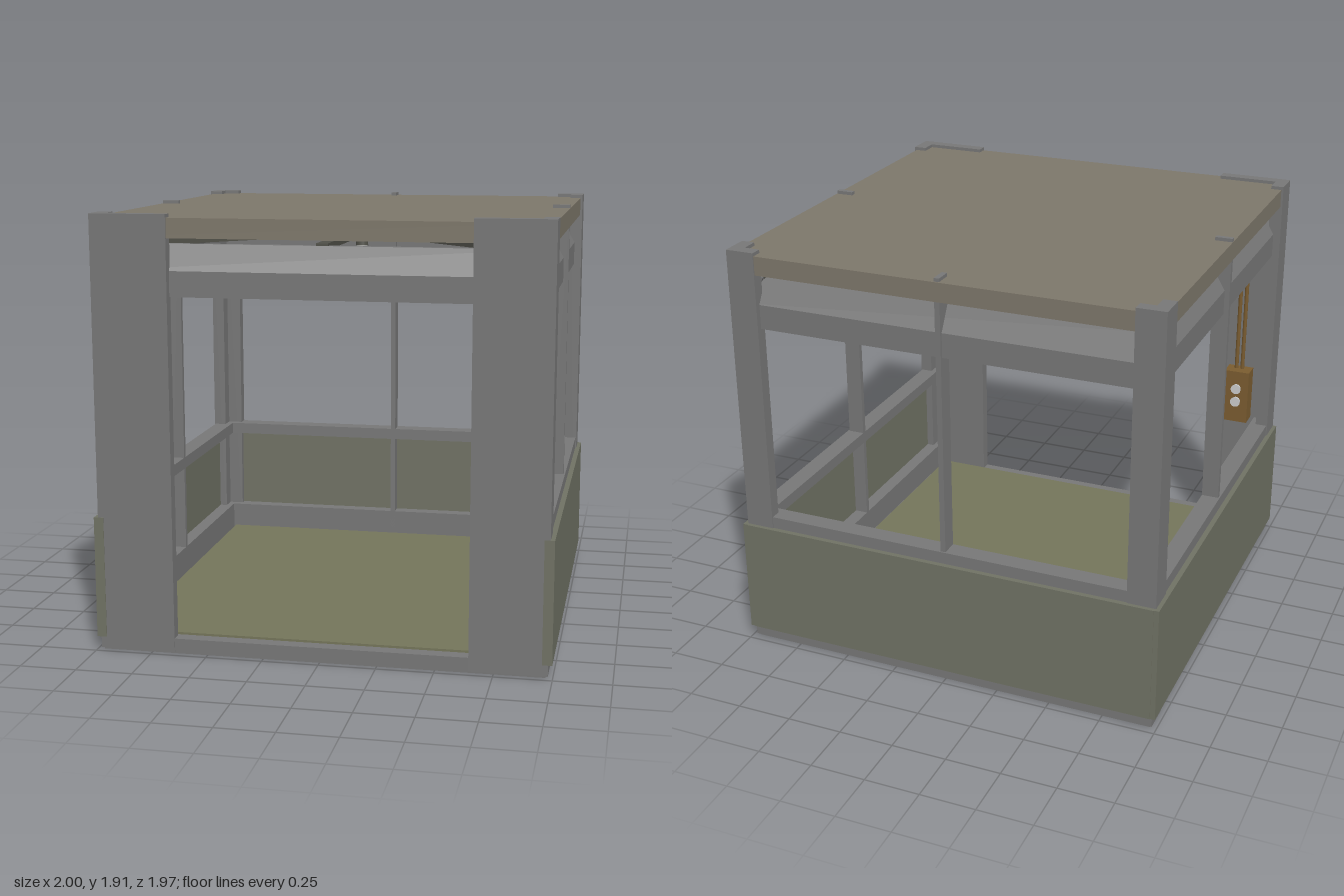
import * as THREE from 'three';

const mat = (color) => new THREE.MeshStandardMaterial({ color });

export function createModel() {
  const root = new THREE.Group();
  const steel = mat(0x777777), paint = mat(0x707264), olive = mat(0x7d776a);
  const floorMat = mat(0x74755a), dark = mat(0x505048), brown = mat(0x7a5c30), white = mat(0xcccccc);

  const add = (name, geo, m, parent = root) => {
    const mesh = new THREE.Mesh(geo, m);
    mesh.name = name;
    parent.add(mesh);
    return mesh;
  };
  // Box given by its minimum and maximum corners
  const box = (name, m, x0, x1, y0, y1, z0, z1, parent = root) => {
    const mesh = add(name, new THREE.BoxGeometry(x1 - x0, y1 - y0, z1 - z0), m, parent);
    mesh.position.set((x0 + x1) / 2, (y0 + y1) / 2, (z0 + z1) / 2);
    return mesh;
  };
  // Upright extrusion of a plan outline given as [x, z] points
  const column = (name, m, pts, y0, y1) => {
    const shape = new THREE.Shape(pts.map(([x, z]) => new THREE.Vector2(x, -z)));
    const geo = new THREE.ExtrudeGeometry(shape, { depth: y1 - y0, bevelEnabled: false });
    geo.rotateX(-Math.PI / 2);
    add(name, geo, m).position.y = y0;
  };

  // Base, floor and roof
  box('basePlinth', steel, -0.97, 0.97, 0, 0.015, -0.96, 0.97);
  box('base', steel, -0.98, 0.98, 0.015, 0.07, -0.97, 0.98);
  box('floorPlate', floorMat, -0.88, 0.88, 0.07, 0.08, -0.88, 0.92);
  box('roof', olive, -0.97, 0.97, 1.815, 1.9, -0.965, 0.975);

  // Corner posts: wide L sections at the front, narrow L sections at the back
  for (const s of [-1, 1]) {
    const side = s < 0 ? 'Right' : 'Left';
    column('frontPost' + side, steel, [
      [s * 0.98, 0.982], [s * 0.645, 0.982], [s * 0.645, 0.93],
      [s * 0.92, 0.93], [s * 0.92, 0.85], [s * 0.98, 0.85]], 0.01, 1.915);
    column('backPost' + side, steel, [
      [s * 0.98, -0.97], [s * 0.85, -0.97], [s * 0.85, -0.915],
      [s * 0.92, -0.915], [s * 0.92, -0.84], [s * 0.98, -0.84]], 0.01, 1.915);
  }

  // Walls: built facing +z at distance d, then turned to their side
  const wall = (name, angle, halfPanel, halfRail, shift) => {
    const g = new THREE.Group();
    g.name = name;
    g.rotation.y = angle;
    g.position.z = shift;
    box('outerPanel', paint, -halfPanel, halfPanel, 0.06, 0.6, 0.955, 0.998, g);
    box('sillRail', steel, -halfRail, halfRail, 0.6, 0.655, 0.89, 0.975, g);
    box('bottomRail', steel, -halfRail, halfRail, 0.07, 0.2, 0.89, 0.975, g);
    box('middlePost', steel, -0.012, 0.012, 0.08, 1.915, 0.89, 0.968, g);
    root.add(g);
  };
  wall('leftWall', Math.PI / 2, 0.985, 0.93, 0);
  wall('rightWall', -Math.PI / 2, 0.985, 0.93, 0);
  wall('backWall', Math.PI, 0.975, 0.93, 0.01);

  // Lintels over the openings, leaning inward at the top
  const profile = new THREE.Shape([
    [0.945, 1.565], [0.945, 1.675], [0.88, 1.785], [0.85, 1.785], [0.915, 1.67], [0.915, 1.565],
  ].map(([d, y]) => new THREE.Vector2(d, y)));
  ['leftLintel', 'backLintel', 'rightLintel', 'frontLintel'].forEach((name, i) => {
    const geo = new THREE.ExtrudeGeometry(profile, { depth: 1.8, bevelEnabled: false });
    geo.translate(0, 0, -0.9);
    add(name, geo, steel).rotation.y = i * Math.PI / 2;
  });

  // Ceiling braces in a star, with centre plate and lamp
  for (let i = 0; i < 4; i++) {
    const length = i % 2 ? 2.46 : 1.76;
    const brace = add('ceilingBrace', new THREE.BoxGeometry(length, 0.028, 0.05), dark);
    brace.position.y = 1.784 - i * 0.001;
    brace.rotation.y = i * Math.PI / 4;
  }
  box('centrePlate', dark, -0.075, 0.075, 1.797, 1.805, -0.075, 0.075);
  add('lampHolder', new THREE.CylinderGeometry(0.025, 0.03, 0.06, 16), dark).position.y = 1.745;
  add('lampBulb', new THREE.SphereGeometry(0.035, 16, 12), white).position.y = 1.69;

  // Control box with two knobs on the back of the right front post
  box('controlBox', brown, -0.87, -0.745, 0.655, 0.93, 0.845, 0.93);
  for (const y of [0.77, 0.84]) {
    const knob = add('controlKnob', new THREE.CylinderGeometry(0.022, 0.026, 0.02, 16), white);
    knob.rotation.x = Math.PI / 2;
    knob.position.set(-0.81, y, 0.836);
  }

  // Conduits up the post and along the front of the ceiling
  for (const k of [0, 1]) {
    const x = -0.82 + k * 0.03, z = 0.87 - k * 0.05;
    const path = new THREE.CurvePath();
    const pts = [[x, 0.92, 0.9], [x, 1.74, 0.9], [x, 1.765, z], [0.45, 1.765, z]]
      .map((p) => new THREE.Vector3(...p));
    for (let i = 0; i < 3; i++) path.add(new THREE.LineCurve3(pts[i], pts[i + 1]));
    add('conduit', new THREE.TubeGeometry(path, 80, 0.01, 8), brown);
  }
  box('junctionBox', dark, -0.88, -0.78, 1.71, 1.77, 0.05, 0.15);

  return root;
}
